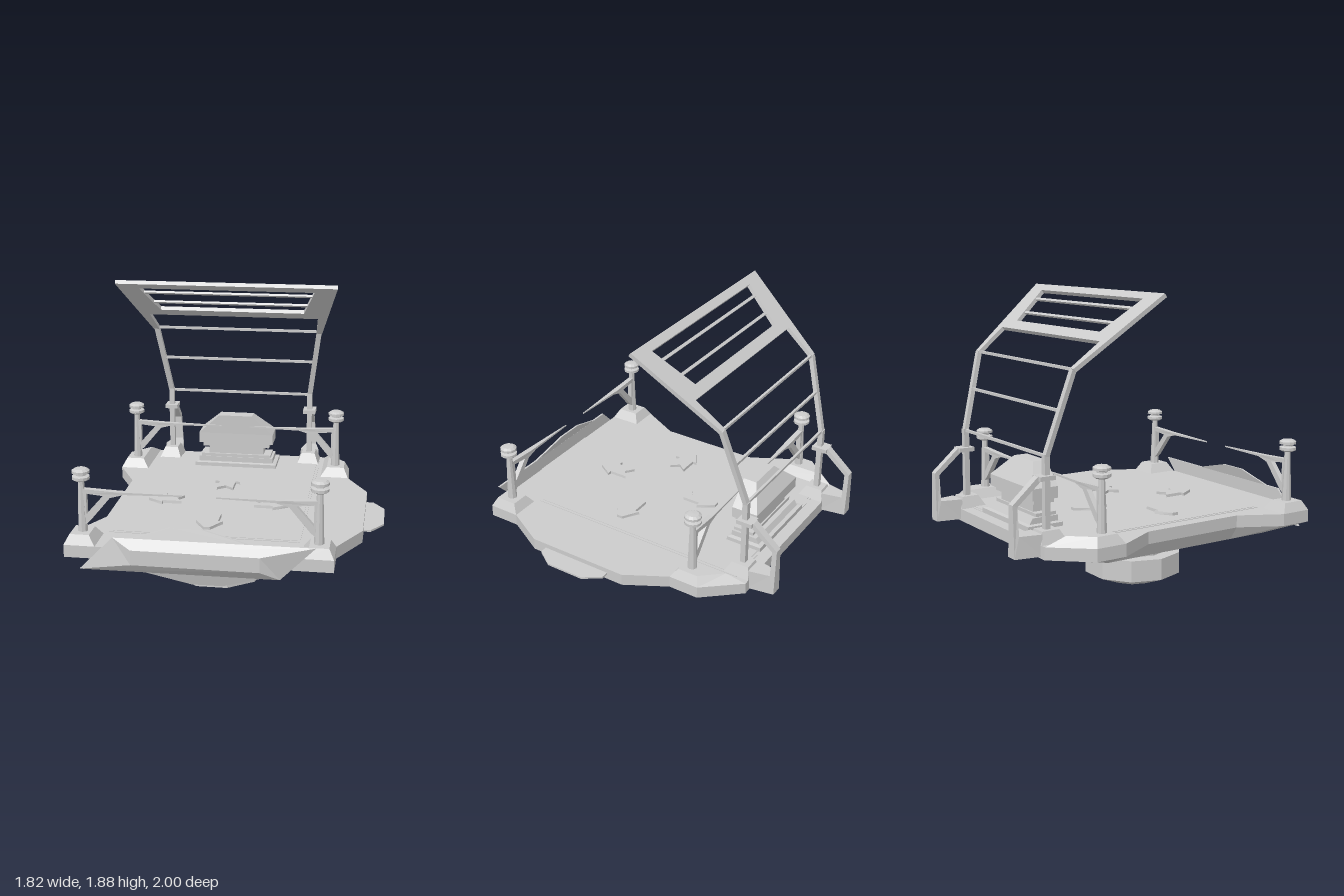
import * as THREE from 'three';

const grey = new THREE.MeshStandardMaterial({ color: 0xcccccc, flatShading: true, side: THREE.DoubleSide });
const V = (x, y, z) => new THREE.Vector3(x, y, z);

// Joins equal-length loops of [x, y] at rising heights along z, capped at both ends.
function loft(loops, heights) {
  const ls = loops.map(l => l.map(p => new THREE.Vector2(p[0], p[1])));
  if (THREE.ShapeUtils.area(ls[0]) < 0) ls.forEach(l => l.reverse());
  const n = ls[0].length, pos = [], idx = [];
  ls.forEach((l, k) => l.forEach(p => pos.push(p.x, p.y, heights[k])));
  for (let k = 0; k < ls.length - 1; k++) for (let i = 0; i < n; i++) {
    const a = k * n + i, b = k * n + (i + 1) % n;
    idx.push(a, b, b + n, a, b + n, a + n);
  }
  const top = (ls.length - 1) * n;
  THREE.ShapeUtils.triangulateShape(ls[0], []).forEach(([a, b, c]) => idx.push(c, b, a));
  THREE.ShapeUtils.triangulateShape(ls[ls.length - 1], []).forEach(([a, b, c]) => idx.push(a + top, b + top, c + top));
  const g = new THREE.BufferGeometry();
  g.setAttribute('position', new THREE.Float32BufferAttribute(pos, 3));
  g.setIndex(idx);
  const flat = g.toNonIndexed();
  flat.computeVertexNormals();
  return flat;
}
// Same with loops of [x, z] stacked upwards.
const stack = (loops, ys) => loft(loops.map(l => l.map(([x, z]) => [x, -z])), ys).rotateX(-Math.PI / 2);
const rect = (hx, z0, z1) => [[-hx, z0], [-hx, z1], [hx, z1], [hx, z0]];

function extrude(points, depth, holes = []) {
  const shape = new THREE.Shape(points.map(p => new THREE.Vector2(...p)));
  holes.forEach(h => shape.holes.push(new THREE.Path(h.map(p => new THREE.Vector2(...p)))));
  return new THREE.ExtrudeGeometry(shape, { depth, bevelEnabled: false }).translate(0, 0, -depth / 2);
}
function bend(geometry, rule) {
  const p = geometry.attributes.position, v = V(0, 0, 0);
  for (let i = 0; i < p.count; i++) {
    rule(v.fromBufferAttribute(p, i));
    p.setXYZ(i, v.x, v.y, v.z);
  }
  geometry.computeVertexNormals();
  return geometry;
}

export function createModel() {
  const model = new THREE.Group();
  const body = new THREE.Group();
  body.name = 'platform';
  body.position.x = -0.13;
  model.add(body);
  const add = (name, geometry, parent = body) => {
    const m = new THREE.Mesh(geometry, grey);
    m.name = name;
    parent.add(m);
    return m;
  };
  const box = (name, w, h, d, x, y, z) => add(name, new THREE.BoxGeometry(w, h, d).translate(x, y, z));
  const bar = (name, a, b, w, d = w) => {
    const m = add(name, new THREE.BoxGeometry(w, a.distanceTo(b), d));
    m.position.copy(a).lerp(b, 0.5);
    m.quaternion.setFromUnitVectors(V(0, 1, 0), b.clone().sub(a).normalize());
  };

  // Hull: notched on one side, with a matching bulge on the other
  const rim = [[-0.59, -0.85], [-0.78, -0.63], [-0.78, -0.44], [-0.645, -0.19], [-0.645, 0.47], [-0.78, 0.73], [-0.78, 0.93],
    [0.78, 0.93], [0.78, 0.73], [0.92, 0.47], [0.92, -0.19], [0.78, -0.44], [0.78, -0.63], [0.59, -0.85]];
  const keel = rim.map(([x, z]) => [THREE.MathUtils.clamp(x, -0.59, 0.59), THREE.MathUtils.clamp(z, -0.43, 0.73)]);
  add('hull', stack([keel, rim, rim], [0.37, 0.455, 0.53]));
  const tab = [[0.9, -0.085], [0.965, -0.085], [1.04, 0.02], [1.04, 0.27], [0.965, 0.38], [0.9, 0.38]];
  add('couplingTab', stack([tab, tab], [0.488, 0.5]));

  // Deck panel inside a thin border
  box('deckBorder', 1.136, 0.004, 1.48, 0, 0.531, -0.035);
  box('deckPanel', 1.1, 0.007, 1.445, 0, 0.532, -0.035);

  // Four arrows pointing outwards
  for (let i = 0; i < 4; i++) {
    const outline = [[-0.02, 0.45], [-0.085, 0.35], [-0.055, 0.35], [-0.055, 0.23], [0, 0.27], [0.055, 0.23], [0.055, 0.35], [0.085, 0.35], [0.02, 0.45]];
    const arrow = add('deckArrow', stack([outline, outline.map(([x, z]) => [x * 0.95, z])], [0.53, 0.553]));
    arrow.position.z = 0.15;
    arrow.rotation.y = i * Math.PI / 2;
  }

  // Ten-sided pod under the hull
  const pod = [[0, 0.37], [0.34, 0.37], [0.312, 0.335], [0.312, 0.285], [0.225, 0.285], [0.225, 0.225], [0.312, 0.225],
    [0.312, 0.09], [0.14, 0.022], [0, 0.004]].reverse().map(p => new THREE.Vector2(...p));
  add('thrusterPod', new THREE.LatheGeometry(pod, 10, Math.PI / 10).translate(0, 0, 0.153));

  // Corner posts with a lamp and a tapering barrier arm
  const lamp = [[0, 0.895], [0.035, 0.895], [0.052, 0.905], [0.052, 0.922], [0.03, 0.928], [0.03, 0.936], [0.052, 0.942],
    [0.052, 0.957], [0.035, 0.968], [0, 0.97]].map(p => new THREE.Vector2(...p));
  const armOutline = [[0, 0.848], [0.2, 0.838], [0.59, 0.833], [0.59, 0.825], [0.25, 0.823], [0.17, 0.8], [0.05, 0.655], [0, 0.61]];
  for (const s of [-1, 1]) {
    for (const z of [0.83, -0.54]) {
      const post = new THREE.Group();
      post.name = 'cornerPost';
      post.position.set(s * 0.687, 0, z);
      post.rotation.y = s > 0 ? Math.PI : 0;
      body.add(post);
      add('pole', new THREE.CylinderGeometry(0.018, 0.03, 0.33, 8).translate(0, 0.74, 0), post);
      add('lamp', new THREE.LatheGeometry(lamp, 12), post);
      const arm = extrude(armOutline, 0.032, [[[0.03, 0.82], [0.13, 0.81], [0.03, 0.695]]]);
      add('barrierArm', bend(arm, v => { if (v.x > 0.2) v.z *= 1.1 - (v.x - 0.2) / 0.4; }), post);
    }
    // Bases: square at the front, chamfered at the rear
    const flip = pts => pts.map(([x, z]) => [s * x, z]);
    add('frontPostBase', stack([flip([[0.78, 0.93], [0.78, 0.73], [0.595, 0.73], [0.595, 0.93]]),
      flip([[0.75, 0.9], [0.75, 0.765], [0.635, 0.765], [0.635, 0.9]])], [0.53, 0.587]));
    add('rearPostBase', stack([flip([[0.78, -0.44], [0.78, -0.63], [0.595, -0.85], [0.595, -0.44]]),
      flip([[0.75, -0.48], [0.75, -0.61], [0.635, -0.74], [0.635, -0.48]])], [0.53, 0.587]));
  }

  // Faceted front bumper with upper and lower flaps
  const edge = [[-0.68, -0.105], [-0.48, 0.1], [0.68, 0.105], [0.48, -0.1]];
  const face = [[-0.37, -0.045], [-0.37, 0.045], [0.37, 0.045], [0.37, -0.045]];
  const bumper = new THREE.Group();
  bumper.name = 'frontBumper';
  bumper.position.y = 0.505;
  body.add(bumper);
  add('bumperShield', loft([edge, edge, face], [0.945, 0.958, 1]), bumper);
  for (const turn of [0, Math.PI]) {
    const flap = extrude([[-0.4, 0.09], [-0.15, 0.17], [0.03, 0.17], [0.35, 0.09]], 0.012);
    add('bumperFlap', bend(flap, v => { v.z += 0.955 - (v.y - 0.09) * 0.3; }), bumper).rotation.z = turn;
  }
  box('bumperMount', 0.5, 0.06, 0.04, 0, 0.49, 0.935);

  // Rear console on a stepped base
  add('consoleBase', stack([rect(0.28, -0.775, -0.54), rect(0.28, -0.775, -0.54), rect(0.255, -0.75, -0.56),
    rect(0.255, -0.73, -0.56)], [0.53, 0.56, 0.565, 0.6]));
  add('consoleStep', stack([rect(0.24, -0.7, -0.565), rect(0.24, -0.7, -0.565)], [0.6, 0.62]));
  add('consolePlinth', stack([rect(0.19, -0.69, -0.58), rect(0.19, -0.69, -0.58)], [0.62, 0.672]));
  add('consoleCollar', stack([rect(0.23, -0.705, -0.57), rect(0.23, -0.705, -0.57)], [0.672, 0.7]));
  add('consoleHousing', stack([rect(0.255, -0.73, -0.557), rect(0.255, -0.73, -0.557), rect(0.113, -0.64, -0.552)], [0.7, 0.77, 0.9]));

  // Canopy legs, clamps, feet and rear brackets
  for (const s of [-1, 1]) {
    const x = s * 0.487;
    bar('canopyLeg', V(x, 0.55, -0.776), V(x, 1.02, -0.776), 0.034);
    bar('canopySide', V(x, 1.01, -0.776), V(s * 0.553, 1.485, -0.638), 0.034, 0.028);
    box('legClamp', 0.085, 0.026, 0.1, x, 0.893, -0.787);
    const foot = add('legFoot', stack([rect(0.075, -0.85, -0.68), rect(0.045, -0.83, -0.72)], [0.53, 0.6]));
    foot.position.x = x;
    const bracket = extrude([[0.82, 0.905], [0.84, 0.905], [1, 0.765], [1, 0.465], [0.84, 0.465], [0.84, 0.59], [0.97, 0.59], [0.97, 0.752], [0.82, 0.88]], 0.045);
    add('rearBracket', bend(bracket, v => { if (v.y < 0.6) v.z *= v.x < 0.9 ? 2.8 : 1.6; }).rotateY(Math.PI / 2)).position.x = x;
  }
  for (const [y, z, half] of [[1.01, -0.776, 0.49], [1.26, -0.705, 0.52], [1.485, -0.638, 0.55]]) {
    box('canopyRung', 2 * half, 0.016, 0.016, 0, y, z);
  }

  // Canopy roof: framed plate with two slats, sloping up to the front
  const roof = new THREE.Group();
  roof.name = 'canopyRoof';
  roof.position.set(0, 1.48, -0.64);
  roof.rotation.x = Math.atan2(0.52, 0.4);
  body.add(roof);
  add('roofFrame', extrude([[-0.572, 0], [-0.535, 0], [-0.556, 0.228], [0.556, 0.228], [0.535, 0], [0.572, 0], [0.7, 0.65], [-0.7, 0.65]],
    0.026, [[[-0.47, 0.3], [0.47, 0.3], [0.556, 0.594], [-0.556, 0.594]]]), roof);
  for (const [v, w] of [[0.39, 1.01], [0.52, 1.08]]) {
    add('roofSlat', new THREE.BoxGeometry(w, 0.018, 0.014).translate(0, v, 0), roof);
  }
  return model;
}
